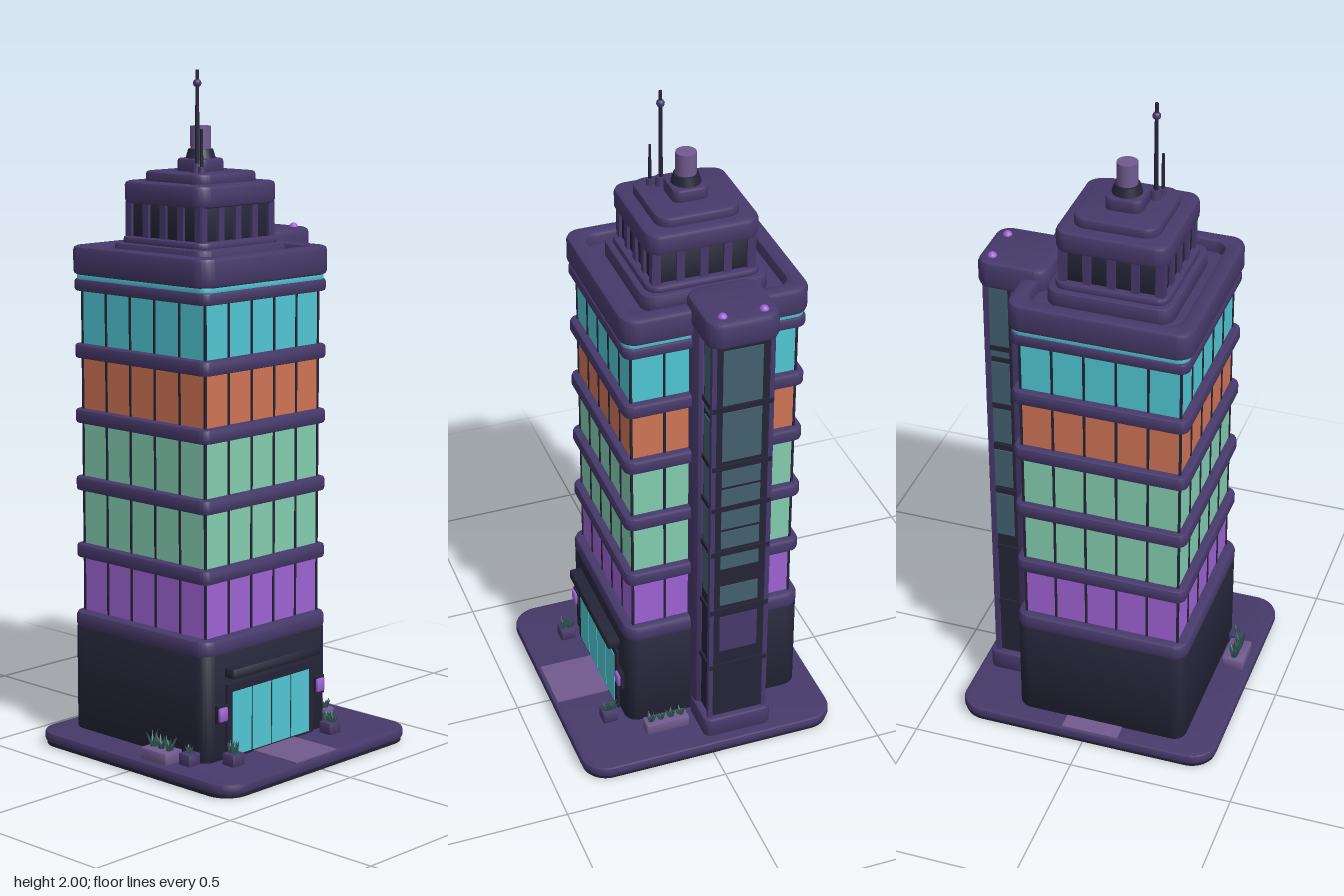
import * as THREE from 'three';
import { toCreasedNormals } from 'three/addons/utils/BufferGeometryUtils.js';

export function createModel() {
  const root = new THREE.Group();
  root.name = 'officeTower';

  const mat = (name, color) => {
    const m = new THREE.MeshStandardMaterial({ color });
    m.name = name;
    return m;
  };
  const purple = mat('purple', 0x46396a);
  const dark = mat('dark', 0x242438);
  const cyan = mat('cyan', 0x50c6d2);
  const orange = mat('orange', 0xcf7455);
  const green = mat('green', 0x83cdb0);
  const violet = mat('violet', 0x9d62d2);
  const shaftGlass = mat('shaftGlass', 0x43606f);
  const mauve = mat('mauve', 0x705a8e);
  const leaf = mat('leaf', 0x2c5150);

  const add = (name, geo, material, x, y, z, parent = root) => {
    const m = new THREE.Mesh(geo, material);
    m.name = name;
    m.position.set(x, y, z);
    parent.add(m);
    return m;
  };
  const group = (name) => {
    const g = new THREE.Group();
    g.name = name;
    root.add(g);
    return g;
  };
  const box = (name, w, h, d, material, x, y, z, parent) =>
    add(name, new THREE.BoxGeometry(w, h, d), material, x, y, z, parent);

  // Rounded rectangle outline, centred
  const outline = (path, w, d, r) => {
    const a = w / 2, b = d / 2;
    path.moveTo(a, -b + r);
    path.absarc(a - r, b - r, r, 0, Math.PI / 2);
    path.absarc(-a + r, b - r, r, Math.PI / 2, Math.PI);
    path.absarc(-a + r, -b + r, r, Math.PI, Math.PI * 1.5);
    path.absarc(a - r, -b + r, r, Math.PI * 1.5, Math.PI * 2);
    return path;
  };
  // Rounded, bevelled slab from y0 to y1, optionally hollow (rim = wall width)
  const slab = (name, w, d, r, y0, y1, material, x, z, parent, bevel = 0.008, rim = 0) => {
    const s = outline(new THREE.Shape(), w - 2 * bevel, d - 2 * bevel, Math.max(r - bevel, 0.003));
    if (rim) {
      s.holes.push(outline(new THREE.Path(), w - 2 * rim + 2 * bevel, d - 2 * rim + 2 * bevel, r));
    }
    const g = new THREE.ExtrudeGeometry(s, {
      depth: y1 - y0 - 2 * bevel, bevelEnabled: true, bevelSize: bevel,
      bevelThickness: bevel, bevelSegments: 2, curveSegments: 6,
    });
    g.rotateX(-Math.PI / 2).translate(0, bevel, 0);
    return add(name, toCreasedNormals(g, 0.7), material, x, y0, z, parent);
  };

  const CX = -0.036, CZ = -0.063;

  // Ground plate and paths
  slab('groundPlateUnderside', 0.8, 0.79, 0.075, 0, 0.022, dark, 0, 0, root, 0.004);
  slab('groundPlate', 0.81, 0.8, 0.08, 0.012, 0.042, purple, 0, 0, root, 0.007);
  box('frontPath', 0.176, 0.006, 0.175, mauve, -0.022, 0.043, 0.302);
  box('backPath', 0.176, 0.006, 0.06, mauve, -0.022, 0.043, -0.362);

  // Ground floor
  slab('groundFloor', 0.53, 0.555, 0.04, 0.04, 0.36, dark, CX - 0.002, CZ);
  slab('groundFloorLedge', 0.534, 0.559, 0.045, 0.35, 0.402, purple, CX - 0.002, CZ, root, 0.014);

  // Entrance with doors, canopy and lamps
  const entry = group('entrance');
  box('doorFrame', 0.37, 0.225, 0.008, dark, -0.035, 0.152, 0.219, entry);
  for (let i = 0; i < 4; i++) {
    box('doorPane', 0.078, 0.19, 0.008, cyan, -0.035 + (i - 1.5) * 0.083, 0.145, 0.221, entry);
  }
  slab('canopy', 0.375, 0.06, 0.006, 0.285, 0.315, dark, -0.034, 0.221, entry, 0.004);
  for (const x of [-0.243, 0.175]) {
    box('lampBack', 0.04, 0.055, 0.014, dark, x, 0.183, 0.219, entry);
    slab('lamp', 0.034, 0.024, 0.006, 0.163, 0.203, violet, x, 0.222, entry, 0.004);
  }

  // Glazed floors with mullions
  const GW = 0.472, GD = 0.498;
  const floors = [
    [0.395, 0.57, violet], [0.6, 0.775, green], [0.8, 0.975, green],
    [1.0, 1.17, orange], [1.19, 1.375, cyan],
  ];
  const glazing = group('glazedFloors');
  for (const [y0, y1, glass] of floors) {
    const h = y1 - y0, y = (y0 + y1) / 2;
    box('windowBand', GW, h, GD, glass, CX, y, CZ, glazing);
    for (let i = 0; i <= 5; i++) {
      const t = i / 5 - 0.5;
      for (const s of [-1, 1]) {
        box('mullion', 0.007, h, 0.006, dark, CX + t * GW, y, CZ + s * GD / 2, glazing);
        box('mullion', 0.006, h, 0.007, dark, CX + s * GW / 2, y, CZ + t * GD, glazing);
      }
    }
  }
  for (const y of [0.585, 0.788, 0.99, 1.183]) {
    slab('floorBand', 0.522, 0.548, 0.03, y - 0.021, y + 0.021, purple, CX, CZ, glazing);
  }

  // Roof edge with light strip and hollow parapet
  slab('topBand', 0.522, 0.548, 0.03, 1.36, 1.396, purple, CX, CZ);
  slab('lightStrip', 0.512, 0.538, 0.03, 1.39, 1.414, cyan, CX, CZ, root, 0.002);
  slab('roofDeck', 0.5, 0.52, 0.03, 1.405, 1.455, purple, CX, CZ);
  slab('parapet', 0.54, 0.562, 0.05, 1.408, 1.492, purple, CX, CZ, root, 0.012, 0.05);

  // Penthouse with pillars all round
  const crown = group('penthouse');
  slab('penthouseBase', 0.37, 0.38, 0.045, 1.45, 1.502, purple, CX, CZ, crown);
  slab('penthouseStep', 0.335, 0.34, 0.04, 1.495, 1.52, purple, CX, CZ, crown);
  slab('penthouseWindows', 0.29, 0.29, 0.02, 1.51, 1.63, dark, CX, CZ, crown, 0.003);
  for (let i = 0; i < 5; i++) {
    const t = (i - 2) * 0.07;
    for (const s of [-0.142, 0.142]) {
      box('pillar', 0.024, 0.11, 0.024, purple, CX + t, 1.565, CZ + s, crown);
      box('pillar', 0.024, 0.11, 0.024, purple, CX + s, 1.565, CZ + t, crown);
    }
  }
  slab('penthouseRoof', 0.332, 0.336, 0.045, 1.616, 1.68, purple, CX, CZ, crown, 0.012);
  slab('penthouseTopStep', 0.25, 0.25, 0.045, 1.67, 1.708, purple, CX + 0.003, CZ, crown);
  slab('beaconBase', 0.108, 0.108, 0.025, 1.7, 1.745, purple, CX + 0.002, CZ, crown);

  // Beacon and antennas
  add('beaconCollar', new THREE.CylinderGeometry(0.036, 0.044, 0.028, 24), dark, CX + 0.003, 1.757, CZ);
  add('beacon', new THREE.CylinderGeometry(0.03, 0.03, 0.07, 24), mauve, CX + 0.003, 1.802, CZ);
  add('mast', new THREE.CylinderGeometry(0.005, 0.007, 0.3, 10), dark, -0.099, 1.85, -0.012);
  add('mastFoot', new THREE.CylinderGeometry(0.014, 0.018, 0.035, 14), purple, -0.099, 1.717, -0.012);
  add('mastBall', new THREE.SphereGeometry(0.012, 14, 10), purple, -0.099, 1.962, -0.012);
  add('shortMast', new THREE.CylinderGeometry(0.004, 0.005, 0.13, 10), dark, -0.11, 1.768, 0.016);
  add('shortMastFoot', new THREE.CylinderGeometry(0.01, 0.012, 0.025, 14), purple, -0.11, 1.714, 0.016);

  // Lift tower on the left side
  const lift = group('liftTower');
  const TZ = -0.09;
  slab('liftWall', 0.09, 0.205, 0.015, 0.04, 1.46, purple, 0.23, TZ, lift);
  box('liftShaft', 0.09, 1.37, 0.17, dark, 0.306, 0.765, TZ, lift);
  for (const s of [-1, 1]) {
    box('liftPost', 0.016, 1.37, 0.014, purple, 0.349, 0.765, TZ + s * 0.086, lift);
  }
  const panes = [
    [1.24, 1.42], [1.05, 1.215], [0.96, 1.025], [0.885, 0.95], [0.81, 0.875],
    [0.74, 0.8], [0.665, 0.73], [0.53, 0.6],
  ];
  for (const [y0, y1] of panes) {
    box('liftPane', 0.008, y1 - y0, 0.118, shaftGlass, 0.35, (y0 + y1) / 2, TZ, lift);
  }
  box('lowerLiftPane', 0.008, 0.13, 0.118, purple, 0.35, 0.42, TZ, lift);
  for (const [y0, y1] of [[1.2, 1.43], [1.04, 1.18], [0.9, 1.02], [0.74, 0.87], [0.56, 0.71]]) {
    for (const s of [-1, 1]) {
      box('liftSidePane', 0.055, y1 - y0, 0.008, shaftGlass, 0.313, (y0 + y1) / 2, TZ + s * 0.0845, lift);
    }
  }
  for (const y of [0.3, 0.51, 0.725, 0.885, 1.03, 1.23]) {
    box('liftBand', 0.1, 0.016, 0.182, dark, 0.308, y, TZ, lift);
  }
  slab('liftPlinth', 0.15, 0.215, 0.025, 0.04, 0.105, purple, 0.298, TZ, lift);
  slab('liftCap', 0.216, 0.218, 0.045, 1.437, 1.522, purple, 0.267, TZ - 0.001, lift, 0.016);
  for (const z of [-0.155, -0.033]) {
    add('capLight', new THREE.SphereGeometry(0.014, 16, 10), violet, 0.335, 1.52, z, lift);
  }

  // Planters with small spiky shrubs
  let seed = 7;
  const rnd = () => (seed = (seed * 16807) % 2147483647) / 2147483647;
  const planter = (x, z, w, d, material, tall) => {
    const g = group('planter');
    slab('planterBox', w, d, 0.005, 0.04, 0.076, material, x, z, g, 0.003);
    const n = Math.max(1, Math.round(d / 0.032));
    for (let i = 0; i < n; i++) {
      const pz = z + ((i + 0.5) / n - 0.5) * (d - 0.01);
      for (let k = 0; k < 8; k++) {
        const a = k * 0.785 + rnd();
        const h = tall * (0.6 + 0.4 * rnd());
        const blade = new THREE.ConeGeometry(0.008, h, 4).translate(0, h / 2, 0);
        blade.rotateZ(-0.2 - 0.4 * rnd()).rotateY(a);
        add('leafBlade', blade, leaf, x, 0.07, pz, g);
      }
    }
  };
  planter(-0.348, 0.083, 0.068, 0.106, mauve, 0.06);
  planter(-0.322, 0.17, 0.046, 0.046, purple, 0.04);
  planter(-0.236, 0.262, 0.048, 0.048, purple, 0.045);
  planter(0.182, 0.262, 0.048, 0.048, purple, 0.045);
  planter(0.277, 0.11, 0.045, 0.136, mauve, 0.04);

  return root;
}
